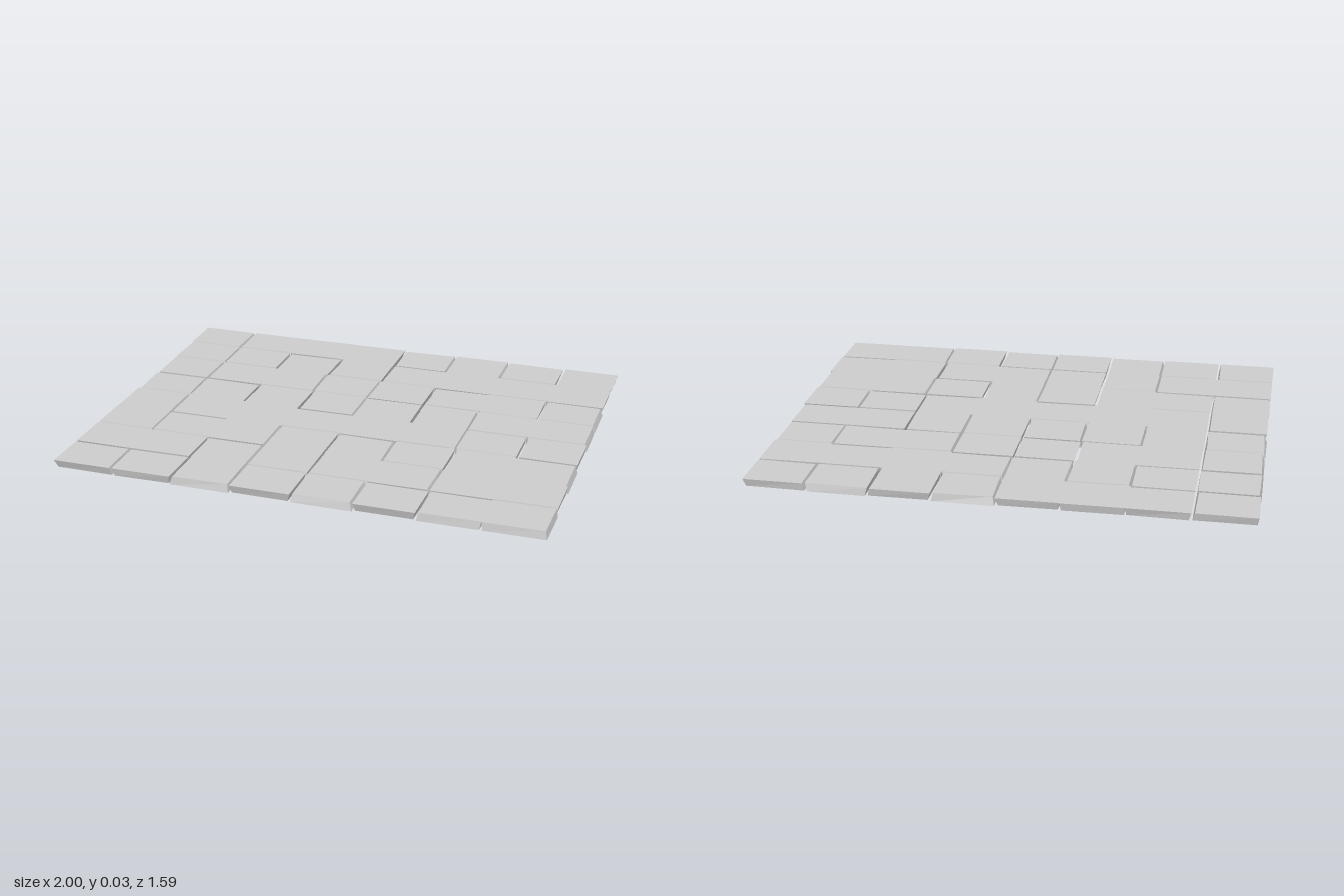
import * as THREE from 'three';

const N = 8, W = 0.25, D = 0.1985, H = 0.033;

// Joints along x, one string per row from back to front, outer edges included.
// 0 = tops meet, 1 = tile on the low side slopes, 2 = tile on the high side slopes
const xJoints = [
  '110021122', '212220002', '210112021', '212212101',
  '110000122', '110121201', '102120102', '112121201',
];
// Joints along z, one string per line from back to front
const zJoints = [
  '111121211', '112020110', '110112122', '221121112', '100200112',
  '020121120', '112001000', '220112211', '221212111',
].map((s) => s.slice(0, N));

function seeded(seed) {
  return () => {
    seed = (seed * 16807) % 2147483647;
    return seed / 2147483647;
  };
}

// Distance a tile edge is pulled in at one corner
function inset(joint, isLowSide, isTop, rand) {
  const r = rand();
  if (joint === '0') return isTop ? 0 : 0.002 + 0.006 * r;
  const slopes = (joint === '1') === isLowSide;
  return slopes === isTop ? 0.006 + 0.007 * r : 0.003 * r;
}

// Box whose eight corners are shifted inside its grid cell
function tileGeometry(col, row, rand) {
  const corners = {};
  for (const sy of [-1, 1]) for (const sz of [-1, 1]) for (const sx of [-1, 1]) {
    const jx = xJoints[row][col + (sx > 0 ? 1 : 0)];
    const jz = zJoints[row + (sz > 0 ? 1 : 0)][col];
    corners[`${sx},${sy},${sz}`] = [
      sx * (W / 2 - inset(jx, sx > 0, sy > 0, rand)),
      sy * H / 2,
      sz * (D / 2 - inset(jz, sz > 0, sy > 0, rand)),
    ];
  }
  const geo = new THREE.BoxGeometry(W, H, D);
  const p = geo.attributes.position;
  for (let i = 0; i < p.count; i++) {
    const key = [p.getX(i), p.getY(i), p.getZ(i)].map(Math.sign).join(',');
    p.setXYZ(i, ...corners[key]);
  }
  geo.computeVertexNormals();
  return geo;
}

export function createModel() {
  const model = new THREE.Group();
  model.name = 'stoneFloor';
  const material = new THREE.MeshStandardMaterial({ color: 0xcccccc, flatShading: true });
  const rand = seeded(4711);

  // Grid of paving slabs
  for (let row = 0; row < N; row++) {
    const strip = new THREE.Group();
    strip.name = `slabRow${row + 1}`;
    for (let col = 0; col < N; col++) {
      const slab = new THREE.Mesh(tileGeometry(col, row, rand), material);
      slab.name = `slab${col + 1}`;
      slab.position.set((col - (N - 1) / 2) * W, H / 2, (row - (N - 1) / 2) * D);
      strip.add(slab);
    }
    model.add(strip);
  }
  return model;
}
